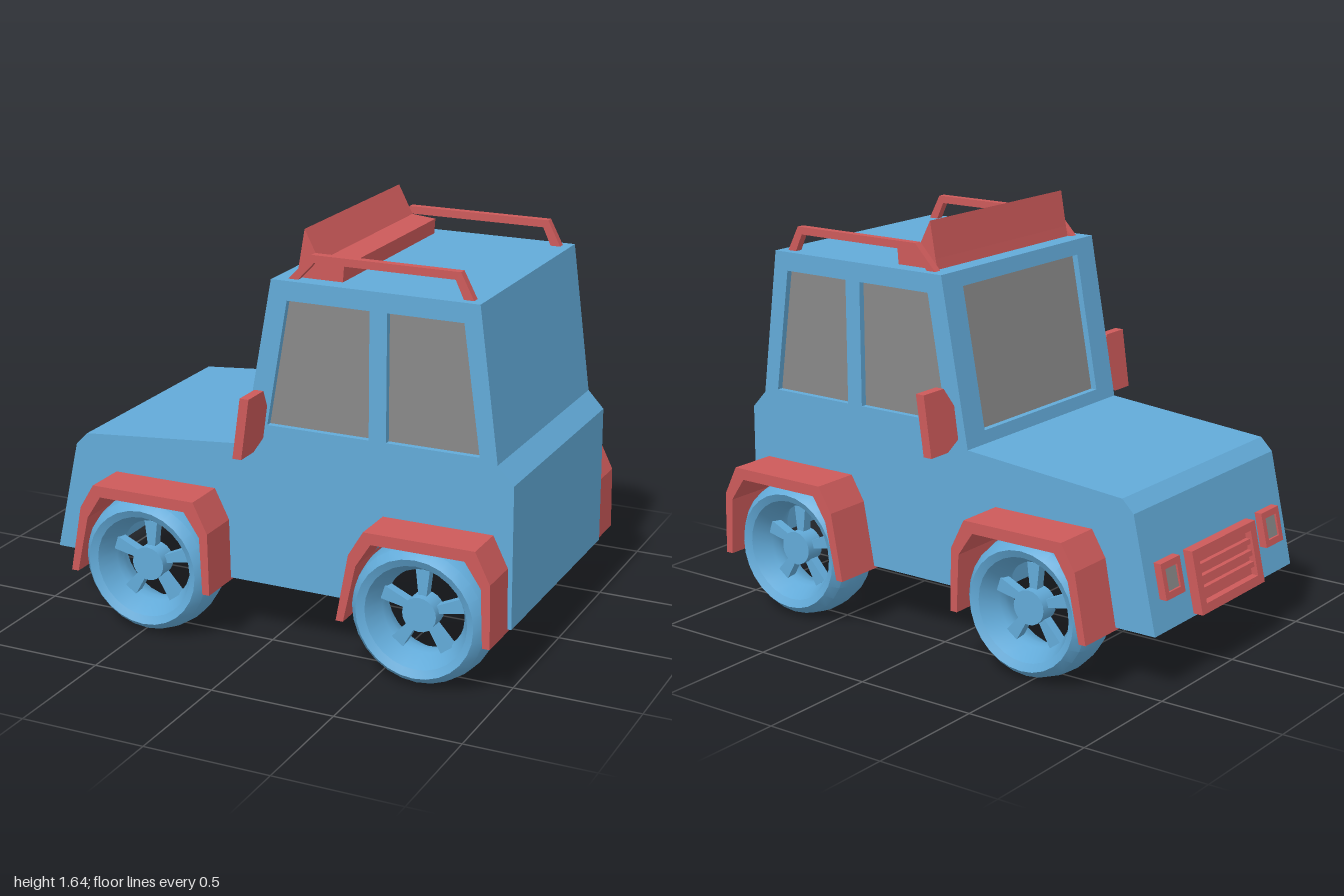
import * as THREE from 'three';
import { toCreasedNormals } from 'three/addons/utils/BufferGeometryUtils.js';

const paint = new THREE.MeshStandardMaterial({ color: 0x62aad8 });
const trim = new THREE.MeshStandardMaterial({ color: 0xcc5a5a });
const glass = new THREE.MeshStandardMaterial({ color: 0x888888 });

const points = (list) => list.map(([x, y]) => new THREE.Vector2(x, y));
const polygon = (list, holes = []) => {
  const shape = new THREE.Shape(points(list));
  holes.forEach((h) => shape.holes.push(new THREE.Path(points(h))));
  return shape;
};
const rect = (x0, y0, x1, y1) => [[x0, y0], [x1, y0], [x1, y1], [x0, y1]];

function addMesh(parent, name, geometry, material) {
  const mesh = new THREE.Mesh(geometry, material);
  mesh.name = name;
  parent.add(mesh);
  return mesh;
}

// Side profile (x, y) extruded between two z values
function slab(list, z0, z1, holes) {
  return new THREE.ExtrudeGeometry(polygon(list, holes), { depth: z1 - z0, bevelEnabled: false })
    .translate(0, 0, z0);
}

// Plate drawn across the car (width, y), leaning back by slope from x0 at height y0
function leaningPlate(list, x0, y0, slope, depth, holes) {
  const geometry = slab(list, 0, depth, holes).rotateY(Math.PI / 2);
  const p = geometry.attributes.position;
  for (let i = 0; i < p.count; i++) p.setX(i, p.getX(i) + x0 + (p.getY(i) - y0) * slope);
  geometry.computeVertexNormals();
  return geometry;
}

const AXLES = [-0.48, 0.67];
// Wheel arch outlines relative to the axle
const archOuter = [[-0.31, 0.23], [-0.26, 0.5], [-0.2, 0.6], [0.24, 0.6], [0.3, 0.48], [0.305, 0.23]];
const archInner = [[0.275, 0.23], [0.265, 0.46], [0.2, 0.555], [-0.17, 0.555], [-0.23, 0.46], [-0.28, 0.23]];

// Body outline with the wheel arches cut into the bottom edge
function bodyProfile(screenInset) {
  const bottom = [];
  AXLES.forEach((ax) => [...archInner].reverse()
    .forEach(([x, y]) => bottom.push([ax + x, Math.max(y, 0.24)])));
  return [[-0.96, 0.24], ...bottom, [0.99, 0.24], [0.985, 0.8], [0.92, 0.87], [0.84, 1.46],
    [0.01 + screenInset, 1.46], [-0.11 + screenInset, 0.8],
    ...(screenInset ? [[-0.11, 0.8]] : []), [-0.81, 0.74], [-0.86, 0.69]];
}

const sideWindows = [
  [[-0.01, 0.89], [0.41, 0.89], [0.41, 1.385], [0.075, 1.385]],
  [[0.48, 0.89], [0.85, 0.89], [0.78, 1.385], [0.48, 1.385]],
];

function createBody() {
  const body = new THREE.Group();
  body.name = 'body';
  addMesh(body, 'bodyCore', slab(bodyProfile(0.03), -0.47, 0.47), paint);
  for (const s of [-1, 1]) {
    const z = s > 0 ? 0.47 : -0.5;
    addMesh(body, 'sidePanel', slab(bodyProfile(0), z, z + 0.03, sideWindows), paint);
    sideWindows.forEach((w) => {
      const zg = s > 0 ? 0.465 : -0.475;
      addMesh(body, 'sideWindow', slab(w, zg, zg + 0.01), glass);
    });
  }
  // Windscreen frame and pane
  const slope = 0.12 / 0.66;
  const opening = rect(-0.38, 0.85, 0.38, 1.4);
  addMesh(body, 'windscreenFrame',
    leaningPlate(rect(-0.47, 0.8, 0.47, 1.46), -0.11, 0.8, slope, 0.03, [opening]), paint);
  addMesh(body, 'windscreen', leaningPlate(opening, -0.085, 0.8, slope, 0.01), glass);
  return body;
}

function createNose() {
  const nose = new THREE.Group();
  nose.name = 'nose';
  const slope = 0.222;
  const plate = (name, list, out, material, holes) => addMesh(nose, name,
    leaningPlate(list, -0.96 - out, 0.24, slope, out + 0.01, holes), material);
  // Grille frame, backing and bars
  plate('grilleFrame', rect(-0.23, 0.25, 0.23, 0.49), 0.04, trim, [rect(-0.19, 0.285, 0.19, 0.46)]);
  plate('grilleBacking', rect(-0.19, 0.285, 0.19, 0.46), 0.012, trim);
  for (let i = 0; i < 3; i++) {
    const y = 0.318 + i * 0.044;
    plate('grilleBar', rect(-0.19, y, 0.19, y + 0.02), 0.03, trim);
  }
  // Headlights
  for (const s of [-1, 1]) {
    const c = s * 0.365;
    plate('headlightFrame', rect(c - 0.065, 0.36, c + 0.065, 0.495), 0.03, trim,
      [rect(c - 0.04, 0.385, c + 0.04, 0.47)]);
    plate('headlight', rect(c - 0.04, 0.385, c + 0.04, 0.47), 0.022, glass);
  }
  return nose;
}

function createWheel() {
  const wheel = new THREE.Group();
  wheel.name = 'wheel';
  // Tyre and dished rim as one closed ring
  const ring = points([[0.16, 0], [0.165, -0.03], [0.205, -0.105], [0.235, -0.12], [0.265, -0.085],
    [0.276, -0.04], [0.28, 0], [0.276, 0.04], [0.265, 0.085], [0.235, 0.12], [0.205, 0.105],
    [0.165, 0.03], [0.16, 0]]);
  const tyre = new THREE.LatheGeometry(ring, 28).rotateX(Math.PI / 2);
  addMesh(wheel, 'tyreAndRim', toCreasedNormals(tyre, 0.5), paint);
  const hub = new THREE.CylinderGeometry(0.068, 0.068, 0.08, 20).rotateX(Math.PI / 2).translate(0, 0, 0.03);
  addMesh(wheel, 'hub', hub, paint);
  for (let i = 0; i < 5; i++) {
    const spoke = slab([[-0.015, 0.055], [0.015, 0.055], [0.028, 0.168], [-0.028, 0.168]], 0, 0.04);
    addMesh(wheel, 'spoke', spoke.rotateZ((i * Math.PI * 2) / 5), paint);
  }
  return wheel;
}

function createMirror() {
  const outline = [[0.49, 0.84], [0.57, 0.8], [0.67, 0.8], [0.67, 1.04], [0.55, 1.04], [0.49, 0.95]];
  return leaningPlate(outline, -0.07, 0.8, 0.14, 0.037);
}

export function createModel() {
  const model = new THREE.Group();
  model.name = 'car';
  const shell = new THREE.Group();
  shell.name = 'shell';
  shell.position.z = 0.01;
  model.add(shell);
  shell.add(createBody(), createNose());

  // Roof deflector
  addMesh(shell, 'roofDeflector', slab([[0.08, 1.45], [0.27, 1.45], [0.275, 1.52], [0.175, 1.53],
    [0.115, 1.645], [0.09, 1.5]], -0.43, 0.43), trim);

  const rail = [[0.06, 1.455], [0.1, 1.455], [0.17, 1.53], [0.73, 1.53], [0.765, 1.455],
    [0.805, 1.455], [0.75, 1.56], [0.16, 1.56]];
  for (const s of [-1, 1]) {
    addMesh(shell, 'roofRail', slab(rail, s * 0.45 - 0.016, s * 0.45 + 0.016), trim);
    const mirror = addMesh(shell, 'wingMirror', createMirror(), trim);
    if (s > 0) mirror.scale.z = -1;

    // Fenders and wheels at each axle
    for (const ax of AXLES) {
      const fender = slab([...archOuter, ...archInner], s > 0 ? 0.43 : -0.688, s > 0 ? 0.688 : -0.43);
      addMesh(model, 'fender', fender, trim).position.x = ax;
      const wheel = createWheel();
      wheel.position.set(ax, 0.285, s * 0.547 + 0.008);
      wheel.scale.z = s;
      model.add(wheel);
    }
  }
  return model;
}
